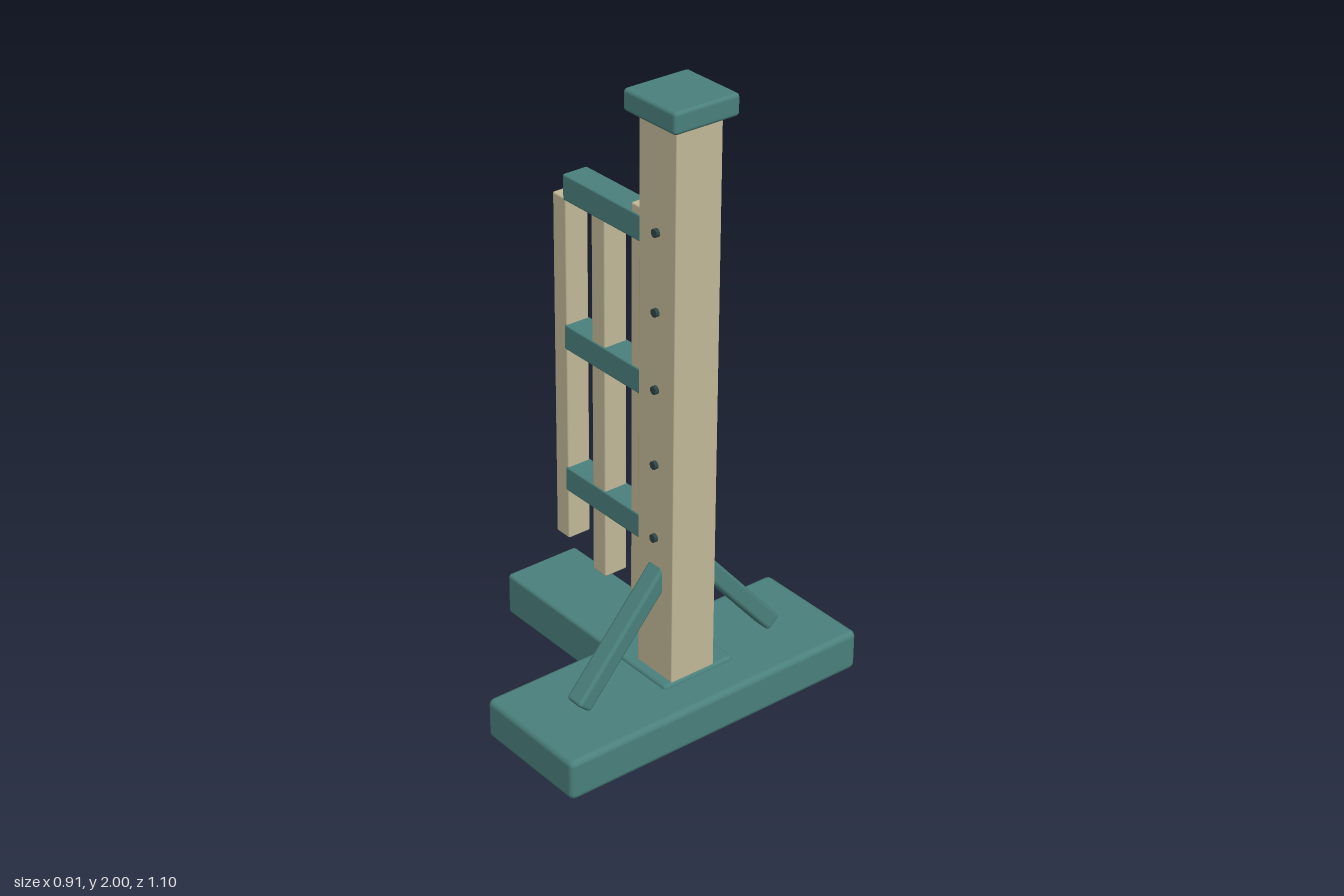
import * as THREE from 'three';
import { RoundedBoxGeometry } from 'three/addons/geometries/RoundedBoxGeometry.js';

const teal = new THREE.MeshStandardMaterial({ color: 0x4a807c });
const wood = new THREE.MeshStandardMaterial({ color: 0xc2b998 });
const dark = new THREE.MeshStandardMaterial({ color: 0x2f4444 });

// Softly bevelled beam given by its min and max corners
function beam(name, material, [x0, y0, z0], [x1, y1, z1], bevel) {
  const mesh = new THREE.Mesh(new RoundedBoxGeometry(x1 - x0, y1 - y0, z1 - z0, 2, bevel), material);
  mesh.position.set((x0 + x1) / 2, (y0 + y1) / 2, (z0 + z1) / 2);
  mesh.name = name;
  return mesh;
}

export function createModel() {
  const model = new THREE.Group();
  model.name = 'jumpStand';
  const postX = 0.247;

  // Crossed feet
  model.add(beam('crossFoot', teal, [0.04, 0, -0.55], [0.455, 0.136, 0.55], 0.02));
  model.add(beam('longFoot', teal, [-0.455, 0.004, -0.155], [0.335, 0.148, 0.112], 0.012));

  // Post and cap
  model.add(beam('post', wood, [0.166, 0.1, -0.081], [0.328, 1.95, 0.081], 0.004));
  model.add(beam('cap', teal, [0.134, 1.932, -0.114], [0.361, 2, 0.114], 0.012));

  // Cup pins up the front of the post
  for (let i = 0; i < 5; i++) {
    const pin = new THREE.Mesh(new THREE.CylinderGeometry(0.013, 0.013, 0.03, 16), dark);
    pin.rotation.x = Math.PI / 2;
    pin.position.set(postX, 0.616 + i * 0.246, 0.078);
    pin.name = 'cupPin';
    model.add(pin);
  }

  // Diagonal braces, front and back
  for (const side of [1, -1]) {
    const brace = new THREE.Mesh(new RoundedBoxGeometry(0.066, 0.5, 0.058, 2, 0.012), teal);
    brace.position.set(postX, 0.335, side * 0.204);
    brace.rotation.x = -side * THREE.MathUtils.degToRad(41);
    brace.name = side > 0 ? 'frontBrace' : 'backBrace';
    model.add(brace);
  }

  // Wing: three rails carrying three staggered pickets
  const wing = new THREE.Group();
  wing.name = 'wing';
  for (const y of [0.517, 1.007, 1.496])
    wing.add(beam('rail', teal, [-0.26, y, -0.065], [0.18, y + 0.083, 0.024], 0.006));
  for (const [x, y0, y1] of [[-0.281, 0.345, 1.503], [-0.098, 0.296, 1.555], [0.087, 0.246, 1.605]])
    wing.add(beam('picket', wood, [x - 0.032, y0, -0.061], [x + 0.032, y1, 0.021], 0.006));
  model.add(wing);

  return model;
}
